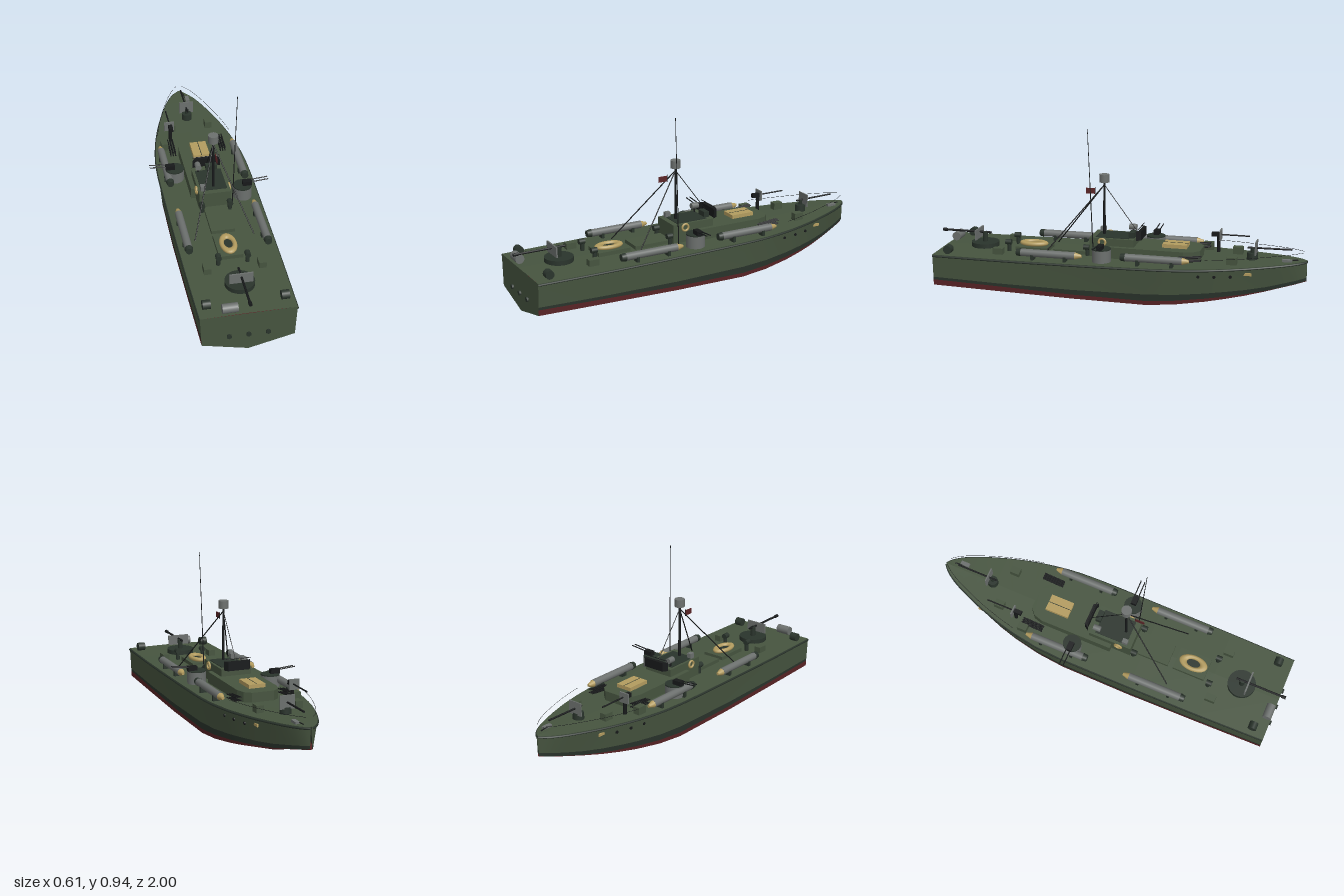
import * as THREE from 'three';

const mat = (name, color, side = THREE.FrontSide) => {
  const m = new THREE.MeshStandardMaterial({ color, side });
  m.name = name;
  return m;
};

export function createModel() {
  const root = new THREE.Group();
  root.name = 'patrolBoat';
  const D = THREE.DoubleSide;
  const green = mat('deckGreen', 0x46543f, D);
  const dark = mat('darkGreen', 0x2a342c, D);
  const red = mat('bottomRed', 0x5a2426, D);
  const grey = mat('gunGrey', 0x6c706e);
  const black = mat('black', 0x17191a, D);
  const tan = mat('tan', 0xb39c5f);

  // ---- helpers ----
  const add = (name, geo, m, x = 0, y = 0, z = 0) => {
    const o = new THREE.Mesh(geo, m);
    o.name = name;
    o.position.set(x, y, z);
    root.add(o);
    return o;
  };
  const box = (name, m, w, h, d, x, y, z) => add(name, new THREE.BoxGeometry(w, h, d), m, x, y, z);
  const rod = (name, m, a, b, r, r2 = r, seg = 8) => {
    const p = new THREE.Vector3(...a), q = new THREE.Vector3(...b);
    const o = add(name, new THREE.CylinderGeometry(r2, r, p.distanceTo(q), seg), m);
    o.position.copy(p).add(q).multiplyScalar(0.5);
    o.quaternion.setFromUnitVectors(new THREE.Vector3(0, 1, 0), q.sub(p).normalize());
    return o;
  };
  const prism = (name, m, pts, y0, y1) => {
    const s = new THREE.Shape(pts.map(([x, z]) => new THREE.Vector2(x, -z)));
    const g = new THREE.ExtrudeGeometry(s, { depth: y1 - y0, bevelEnabled: false });
    return add(name, g.rotateX(-Math.PI / 2), m, 0, y0, 0);
  };

  // ---- hull stations: z, deck half width, deck y, chine half width, chine y, red top y, keel y ----
  const stations = [
    [0.97, 0.24, 0.245, 0.232, 0.075, 0.105, 0.018],
    [0.6, 0.247, 0.246, 0.236, 0.068, 0.095, 0.013],
    [0.2, 0.25, 0.25, 0.238, 0.06, 0.082, 0.008],
    [-0.2, 0.25, 0.256, 0.232, 0.055, 0.077, 0],
    [-0.35, 0.241, 0.259, 0.22, 0.066, 0.087, 0.01],
    [-0.5, 0.217, 0.263, 0.195, 0.085, 0.102, 0.033],
    [-0.6, 0.193, 0.267, 0.17, 0.1, 0.113, 0.056],
    [-0.7, 0.163, 0.271, 0.138, 0.116, 0.124, 0.088],
    [-0.8, 0.126, 0.276, 0.1, 0.135, 0.138, 0.13],
    [-0.88, 0.092, 0.28, 0.067, 0.152, 0.154, 0.148],
    [-0.94, 0.059, 0.283, 0.04, 0.164, 0.166, 0.161],
    [-0.98, 0.028, 0.285, 0.02, 0.173, 0.175, 0.17],
    [-0.999, 0.004, 0.286, 0.004, 0.178, 0.18, 0.175],
  ];
  const bootTop = (s) => s[5] + 0.014 + 0.022 * Math.max(0, 1 - Math.abs(s[0] + 0.2) / 0.9);
  const sideX = (s, y) => s[3] + ((s[1] - s[3]) * (y - s[4])) / (s[2] - s[4]);
  const level = {
    keel: (s) => [0, s[6]],
    chine: (s) => [s[3], s[4]],
    water: (s) => [sideX(s, s[5]), s[5]],
    boot: (s) => [sideX(s, bootTop(s)), bootTop(s)],
    deck: (s) => [s[1], s[2]],
    centre: (s) => [0, s[2] + 0.003],
  };
  const strake = (name, m, lo, hi) => [1, -1].forEach((side) => {
    const pos = [], idx = [];
    stations.forEach((s, i) => {
      [level[lo](s), level[hi](s)].forEach(([x, y]) => pos.push(x * side, y, s[0]));
      if (i) {
        const a = 2 * i - 2;
        idx.push(...(side > 0 ? [a, a + 2, a + 1, a + 1, a + 2, a + 3] : [a, a + 1, a + 2, a + 1, a + 3, a + 2]));
      }
    });
    const g = new THREE.BufferGeometry();
    g.setAttribute('position', new THREE.Float32BufferAttribute(pos, 3));
    g.setIndex(idx);
    g.computeVertexNormals();
    add(name, g, m);
  });
  strake('hullBottom', red, 'keel', 'chine');
  strake('hullLowerSide', red, 'chine', 'water');
  strake('bootStripe', dark, 'water', 'boot');
  strake('hullSide', green, 'boot', 'deck');
  strake('deck', green, 'deck', 'centre');

  const t = stations[0];
  const transom = new THREE.Shape([[0, t[6]], [t[3], t[4]], [t[1], t[2]], [-t[1], t[2]], [-t[3], t[4]]]
    .map((p) => new THREE.Vector2(...p)));
  add('transom', new THREE.ShapeGeometry(transom), green, 0, 0, 0.97);
  for (const x of [-0.097, 0, 0.097]) rod('exhaust', dark, [x, 0.115, 0.96], [x, 0.115, 0.98], 0.013, 0.013, 6);

  // rub rails, bow lines and portholes follow the deck edge
  for (const s of [1, -1]) {
    const edge = (dx, dy, list) => new THREE.CatmullRomCurve3(list.map((p) =>
      new THREE.Vector3(s * (p[1] + dx), p[2] + dy, p[0])));
    add('rubRail', new THREE.TubeGeometry(edge(0, -0.008, stations), 60, 0.006, 6), dark);
    add('bowLine', new THREE.TubeGeometry(edge(-0.01, 0.045, stations.slice(5, 12)), 30, 0.001, 4), black);
    [[-0.47, 0.224], [-0.55, 0.208], [-0.63, 0.186]].forEach(([z, x]) =>
      rod('porthole', black, [s * (x - 0.02), 0.222, z], [s * (x - 0.004), 0.222, z], 0.008, 0.008, 10));
    box('hullAnchor', tan, 0.008, 0.014, 0.05, s * 0.154, 0.235, -0.71);
  }

  // ---- deckhouse and bridge ----
  prism('cabinTrunk', green, [[-0.06, -0.45], [0.06, -0.45], [0.095, -0.42], [0.11, -0.37], [0.11, 0.03],
    [-0.11, 0.03], [-0.11, -0.37], [-0.095, -0.42]], 0.24, 0.315);
  box('cabinHatch', tan, 0.09, 0.02, 0.13, 0, 0.325, -0.31);
  box('hatchSeam', dark, 0.003, 0.002, 0.13, 0, 0.335, -0.31);
  box('bridge', green, 0.17, 0.11, 0.24, 0, 0.3, 0.02);
  box('bridgeFloor', dark, 0.14, 0.004, 0.18, 0, 0.356, 0.02);
  prism('windscreen', black, [[-0.075, -0.11], [-0.06, -0.135], [0.06, -0.135], [0.075, -0.11],
    [0.06, -0.117], [-0.06, -0.117]], 0.35, 0.398);
  box('helmConsole', dark, 0.06, 0.03, 0.03, 0.02, 0.37, -0.08);
  rod('searchlight', grey, [-0.055, 0.392, -0.085], [-0.055, 0.392, -0.045], 0.016, 0.016, 14);
  rod('searchlightPost', black, [-0.055, 0.35, -0.065], [-0.055, 0.385, -0.065], 0.005);
  rod('bridgeYard', black, [-0.075, 0.41, -0.12], [0.075, 0.41, -0.12], 0.002);
  box('bridgeLocker', grey, 0.025, 0.035, 0.03, -0.06, 0.365, 0.1);
  for (const s of [1, -1]) {
    const ring = add('lifeRing', new THREE.TorusGeometry(0.018, 0.006, 8, 20), tan, s * 0.089, 0.335, 0.07);
    ring.rotation.y = Math.PI / 2;
  }

  // ---- mast, radar and aerials ----
  const top = [0, 0.625, 0.08];
  rod('mast', black, [0, 0.25, 0.08], [0, 0.65, 0.08], 0.008, 0.006);
  rod('radarDrum', grey, [0, 0.64, 0.08], [0, 0.682, 0.08], 0.027, 0.027, 20);
  for (const s of [1, -1]) rod('mastLeg', black, [s * 0.155, 0.25, 0.385], top, 0.003);
  rod('forestay', black, [0, 0.35, -0.125], top, 0.002);
  rod('whipAerial', black, [0.097, 0.25, 0.115], [0.112, 0.94, 0.14], 0.003, 0.0015);
  box('flag', red, 0.003, 0.03, 0.05, 0, 0.588, 0.155);
  rod('flagLine', black, [0, 0.57, 0.13], [0, 0.61, 0.13], 0.0015);

  // ---- engine hatch and life raft ----
  box('engineHatch', green, 0.125, 0.03, 0.3, 0, 0.255, 0.2);
  box('raftBase', green, 0.125, 0.03, 0.18, 0, 0.255, 0.47);
  const raft = add('lifeRaft', new THREE.TorusGeometry(0.033, 0.012, 10, 28), tan, 0, 0.28, 0.475);
  raft.rotation.x = Math.PI / 2;
  raft.scale.set(1, 1.78, 1);
  const raftFloor = add('raftFloor', new THREE.CylinderGeometry(0.03, 0.03, 0.006, 24), dark, 0, 0.276, 0.475);
  raftFloor.scale.z = 1.78;

  // ---- torpedoes, ventilators, lockers and racks on both sides ----
  for (const s of [1, -1]) {
    for (const [z0, z1, y] of [[-0.42, -0.06, 0.295], [0.15, 0.505, 0.283]]) {
      const x = s * 0.205;
      rod('torpedoNose', tan, [x, y, z0 + 0.035], [x, y, z0], 0.019, 0.008, 14);
      rod('torpedoBody', grey, [x, y, z0 + 0.035], [x, y, z1 - 0.025], 0.02, 0.02, 14);
      rod('torpedoTail', dark, [x, y, z1 - 0.025], [x, y, z1], 0.022, 0.018, 14);
      for (const f of [0.25, 0.75]) box('torpedoCradle', dark, 0.04, 0.035, 0.015, x, y - 0.025, z0 + (z1 - z0) * f);
    }
    for (const z of [0.155, 0.59]) {
      rod('ventPipe', dark, [s * 0.075, 0.24, z], [s * 0.075, 0.3, z], 0.011, 0.011, 12);
      rod('ventHood', dark, [s * 0.075, 0.298, z - 0.012], [s * 0.075, 0.298, z + 0.02], 0.015, 0.015, 12);
    }
    box('sternLocker', green, 0.038, 0.04, 0.055, s * 0.14, 0.26, 0.63);
    box('foreLocker', green, 0.038, 0.045, 0.052, s * 0.105, 0.285, -0.625);
    for (let i = 0; i < 3; i++) for (let j = 0; j < 2; j++) {
      rod('rocketRack', black, [s * (0.128 + i * 0.013), 0.275 + j * 0.018, -0.35],
        [s * (0.128 + i * 0.013), 0.287 + j * 0.018, -0.47], 0.0035, 0.0035, 6);
    }
    rod('sternCharge', dark, [s * 0.175, 0.268, 0.895], [s * 0.215, 0.268, 0.895], 0.023, 0.023, 14);

    // side gun tub with twin barrels pointing outboard
    const x = s * 0.165, z = s > 0 ? 0.053 : -0.165;
    rod('gunTub', grey, [x, 0.24, z], [x, 0.318, z], 0.05, 0.05, 20);
    rod('gunTubTop', dark, [x, 0.318, z], [x, 0.324, z], 0.05, 0.05, 20);
    box('gunBreech', black, 0.05, 0.025, 0.03, s * 0.19, 0.335, z);
    for (const d of [-0.011, 0.011]) rod('gunBarrel', black, [s * 0.18, 0.341, z + d], [s * 0.303, 0.352, z + d], 0.003);
  }
  box('foreLocker', green, 0.038, 0.045, 0.052, -0.175, 0.28, -0.455);
  rod('sternDrum', grey, [-0.128, 0.272, 0.945], [-0.05, 0.272, 0.945], 0.024, 0.024, 16);

  // ---- stern gun ----
  rod('sternGunBase', dark, [0, 0.24, 0.755], [0, 0.272, 0.755], 0.076, 0.076, 24);
  rod('sternGunPost', dark, [0, 0.27, 0.755], [0, 0.325, 0.755], 0.015);
  box('sternGunShield', grey, 0.12, 0.055, 0.008, 0, 0.315, 0.79);
  rod('sternGunBarrel', black, [0, 0.322, 0.72], [0, 0.322, 1], 0.006);
  rod('sternGunMuzzle', black, [0, 0.322, 0.975], [0, 0.322, 1], 0.009);

  // ---- bow guns ----
  rod('bowGunBase', dark, [0, 0.26, -0.715], [0, 0.31, -0.715], 0.03, 0.028, 16);
  rod('bowGunPost', dark, [0, 0.3, -0.715], [0, 0.335, -0.715], 0.01);
  box('bowGunShield', grey, 0.08, 0.07, 0.006, 0, 0.337, -0.735);
  rod('bowGunBarrel', black, [0, 0.335, -0.69], [0, 0.338, -0.92], 0.005);
  rod('sideGunPost', black, [-0.13, 0.25, -0.515], [-0.13, 0.36, -0.515], 0.01);
  box('sideGunShield', grey, 0.056, 0.055, 0.008, -0.135, 0.358, -0.525);
  box('sideGunBreech', black, 0.022, 0.022, 0.045, -0.13, 0.36, -0.5);
  rod('sideGunBarrel', black, [-0.13, 0.36, -0.52], [-0.13, 0.36, -0.68], 0.004);

  // ---- anchor ----
  box('anchorStock', grey, 0.022, 0.012, 0.05, 0.035, 0.288, -0.9);
  rod('anchorShank', black, [0.03, 0.29, -0.88], [0.02, 0.29, -0.955], 0.003);
  return root;
}
